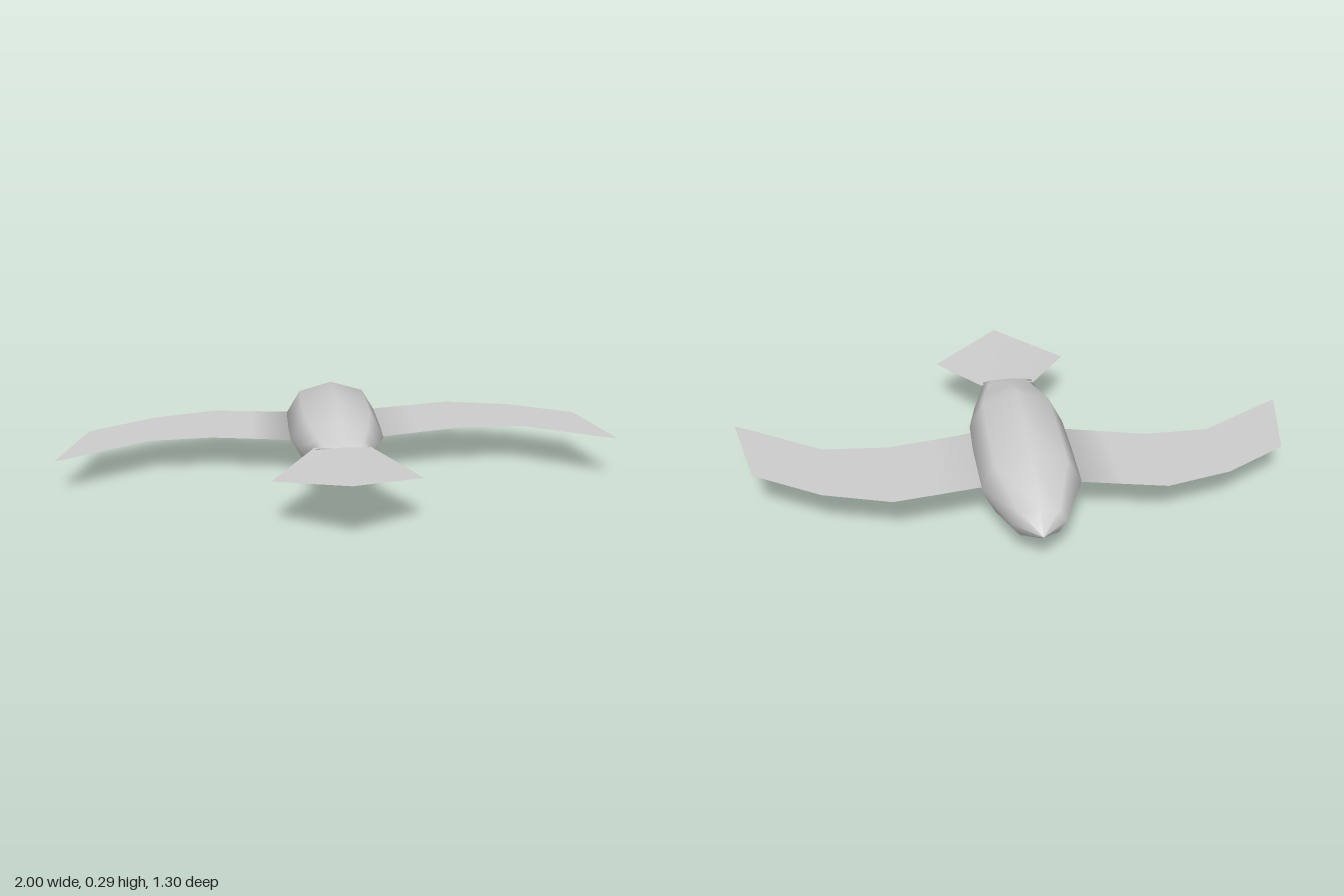
import * as THREE from 'three';

const plumage = new THREE.MeshStandardMaterial({ color: 0xcccccc, side: THREE.DoubleSide });
plumage.name = 'plain grey';

// Skin a list of equally long point rows with smooth shared vertices.
function skin(name, rows, { closed = false, flip = false } = {}) {
  const n = rows[0].length;
  const index = [];
  for (let i = 0; i < rows.length - 1; i++) {
    for (let j = 0; j < (closed ? n : n - 1); j++) {
      const k = (j + 1) % n;
      const a = i * n + j, b = i * n + k, c = (i + 1) * n + j, d = (i + 1) * n + k;
      index.push(...(flip ? [a, c, b, b, c, d] : [a, b, c, b, d, c]));
    }
  }
  const geometry = new THREE.BufferGeometry();
  geometry.setAttribute('position', new THREE.Float32BufferAttribute(rows.flat(2), 3));
  geometry.setIndex(index);
  geometry.computeVertexNormals();
  const mesh = new THREE.Mesh(geometry, plumage);
  mesh.name = name;
  return mesh;
}

// Eight-sided body ring: z, half width, top, widest height, bottom.
function ring([z, w, top, mid, bottom]) {
  return Array.from({ length: 8 }, (_, i) => {
    const a = (i * Math.PI) / 4;
    const s = Math.sin(a);
    return [Math.cos(a) * w - 0.003, mid + s * (s > 0 ? top - mid : mid - bottom), z];
  });
}

function makeBody() {
  const rings = [
    [-0.65, 0.002, 0.122, 0.12, 0.118],
    [-0.57, 0.09, 0.18, 0.12, 0.06],
    [-0.38, 0.172, 0.262, 0.14, 0.004],
    [-0.17, 0.172, 0.28, 0.147, 0],
    [0, 0.168, 0.287, 0.155, 0.034],
    [0.11, 0.14, 0.255, 0.165, 0.06],
    [0.2, 0.108, 0.225, 0.18, 0.125],
    [0.245, 0.092, 0.208, 0.198, 0.188],
    [0.248, 0.002, 0.2, 0.199, 0.198],
  ];
  return skin('body', rings.map(ring), { closed: true });
}

// Swept sheet wing, gently tilted across the span.
function makeWing(side) {
  const stations = [ // x, leading z, trailing z
    [0.15, -0.381, -0.03],
    [0.31, -0.412, -0.067],
    [0.46, -0.44, -0.1],
    [0.69, -0.375, -0.09],
    [0.92, -0.235, 0.053],
    [1, 0.1, 0.1],
  ];
  const rows = stations.map(([x, front, back]) =>
    [front, back].map((z) => [side * x, 0.145 + 0.02 * side * x, z]));
  const wing = skin(side > 0 ? 'leftWing' : 'rightWing', rows, { flip: side < 0 });
  // Lean the root normals so the wing blends into the body.
  const normal = wing.geometry.attributes.normal;
  const lean = new THREE.Vector3(side > 0 ? 0.6 : 0.8, side > 0 ? 0.8 : 0.4, 0).normalize();
  for (let i = 0; i < 2; i++) normal.setXYZ(i, lean.x, lean.y, lean.z);
  return wing;
}

// Fan tail folded along a raised centre ridge.
function makeTail() {
  const rows = [
    [[-0.098, 0.197, 0.225], [0, 0.205, 0.235], [0.098, 0.197, 0.225]],
    [[-0.248, 0.17, 0.47], [0, 0.215, 0.65], [0.248, 0.17, 0.47]],
  ];
  return skin('tail', rows, { flip: true });
}

export function createModel() {
  const bird = new THREE.Group();
  bird.name = 'bird';
  bird.add(makeBody(), makeWing(1), makeWing(-1), makeTail());
  return bird;
}
